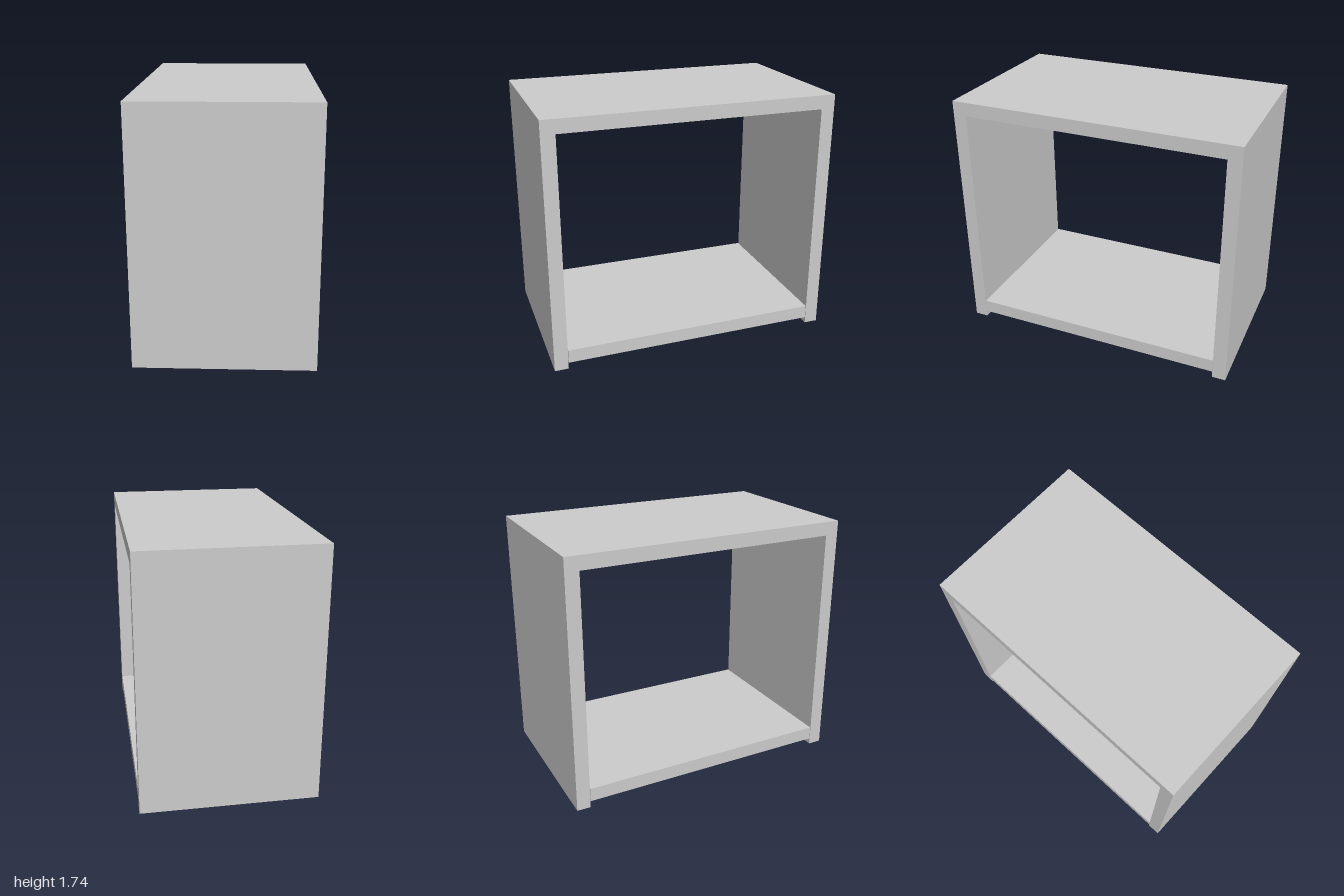
import * as THREE from 'three';

const WIDTH = 1.2, HEIGHT = 1.74, HALF_DEPTH = 1, THICK = 0.095;

export function createModel() {
  const model = new THREE.Group();
  model.name = 'openCabinet';
  const material = new THREE.MeshStandardMaterial({ color: 0xcccccc, flatShading: true });

  // Top and two side walls: one arch-shaped profile extruded across the width
  const inner = HALF_DEPTH - THICK;
  const profile = new THREE.Shape([
    [-HALF_DEPTH, 0], [-inner, 0], [-inner, HEIGHT - THICK], [inner, HEIGHT - THICK],
    [inner, 0], [HALF_DEPTH, 0], [HALF_DEPTH, HEIGHT], [-HALF_DEPTH, HEIGHT],
  ].map(([z, y]) => new THREE.Vector2(z, y)));
  const shellGeometry = new THREE.ExtrudeGeometry(profile, { depth: WIDTH, bevelEnabled: false });
  shellGeometry.translate(0, 0, -WIDTH / 2).rotateY(-Math.PI / 2);
  const shell = new THREE.Mesh(shellGeometry, material);
  shell.name = 'shell';

  // Bottom shelf, raised slightly off the ground between the walls
  const shelf = new THREE.Mesh(new THREE.BoxGeometry(WIDTH, THICK, 2 * inner - 0.006), material);
  shelf.name = 'bottomShelf';
  shelf.position.y = 0.093;

  model.add(shell, shelf);
  return model;
}
